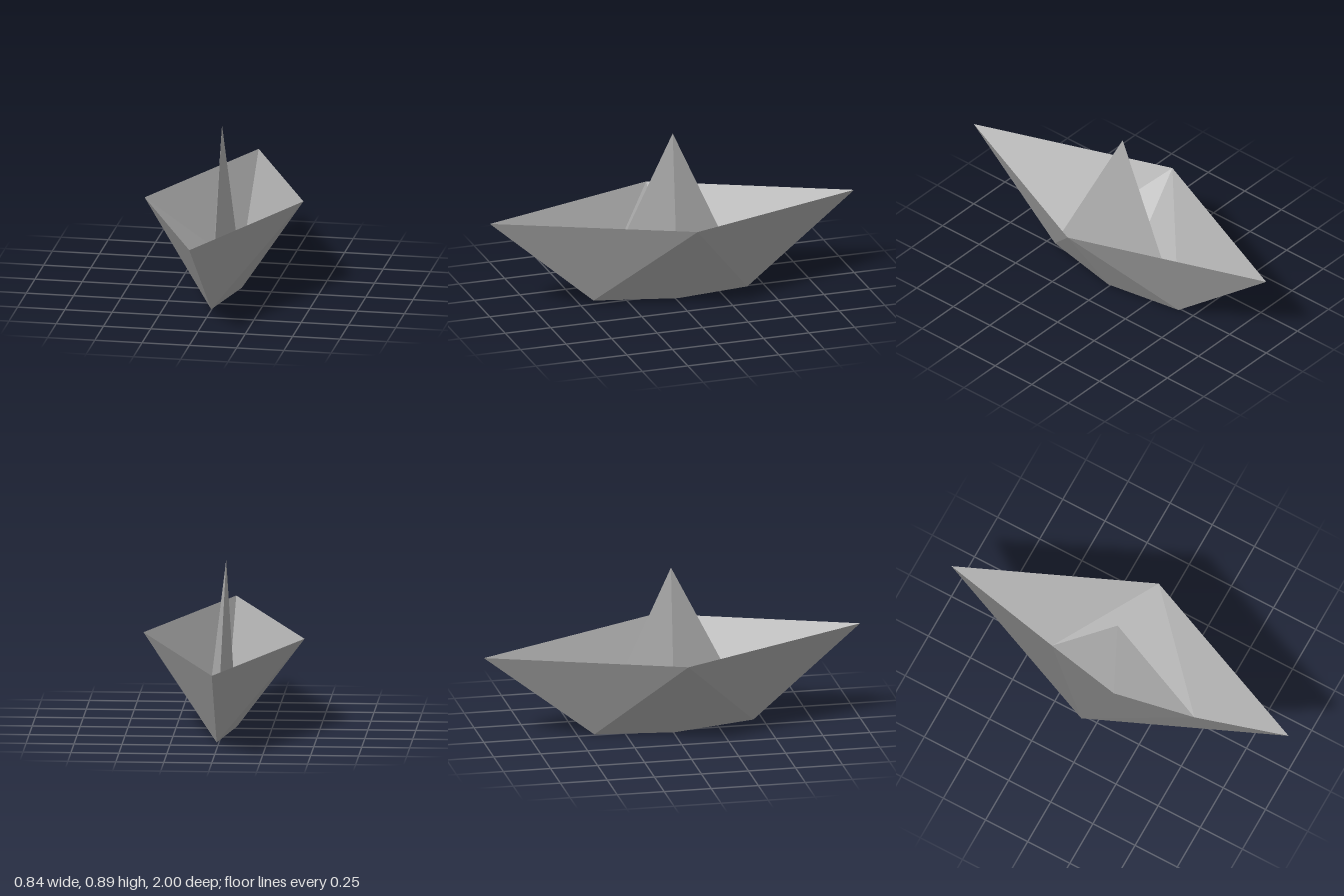
import * as THREE from 'three';

// Corner rings run left side, stern, right side, bow
const RIM = [[0.42, 0.505, 0], [0, 0.463, -1], [-0.42, 0.48, 0], [0, 0.52, 1]];
const BASE = [[0.095, 0.017, 0], [0.012, 0.002, -0.41], [-0.068, 0.012, 0], [0.012, 0.027, 0.435]];
const PEAK = [-0.012, 0.896, -0.008];

const paper = new THREE.MeshStandardMaterial({ color: 0xb0b0b0, flatShading: true, side: THREE.DoubleSide });
paper.name = 'grey paper';

// Folded sheet from a list of corner triples
function sheet(name, triangles) {
  const geometry = new THREE.BufferGeometry();
  geometry.setAttribute('position', new THREE.Float32BufferAttribute(triangles.flat(2), 3));
  geometry.computeVertexNormals();
  const mesh = new THREE.Mesh(geometry, paper);
  mesh.name = name;
  return mesh;
}

export function createModel() {
  const boat = new THREE.Group();
  boat.name = 'paperBoat';
  const hull = [];
  const sail = [];

  for (let i = 0; i < 4; i++) {
    const j = (i + 1) % 4;
    // Each hull quarter folds from the side's rim to the end of the keel
    if (i % 2 === 0) {
      hull.push([RIM[i], BASE[i], BASE[j]], [RIM[i], BASE[j], RIM[j]]);
    } else {
      hull.push([RIM[i], BASE[i], RIM[j]], [BASE[i], BASE[j], RIM[j]]);
    }
    // The sail rises from the hull's base to a point
    sail.push([PEAK, BASE[i], BASE[j]]);
  }

  // Diamond bottom, folded across the middle
  const bottom = [[BASE[0], BASE[2], BASE[1]], [BASE[0], BASE[3], BASE[2]]];

  boat.add(sheet('hull', hull), sheet('bottom', bottom), sheet('sail', sail));
  return boat;
}
